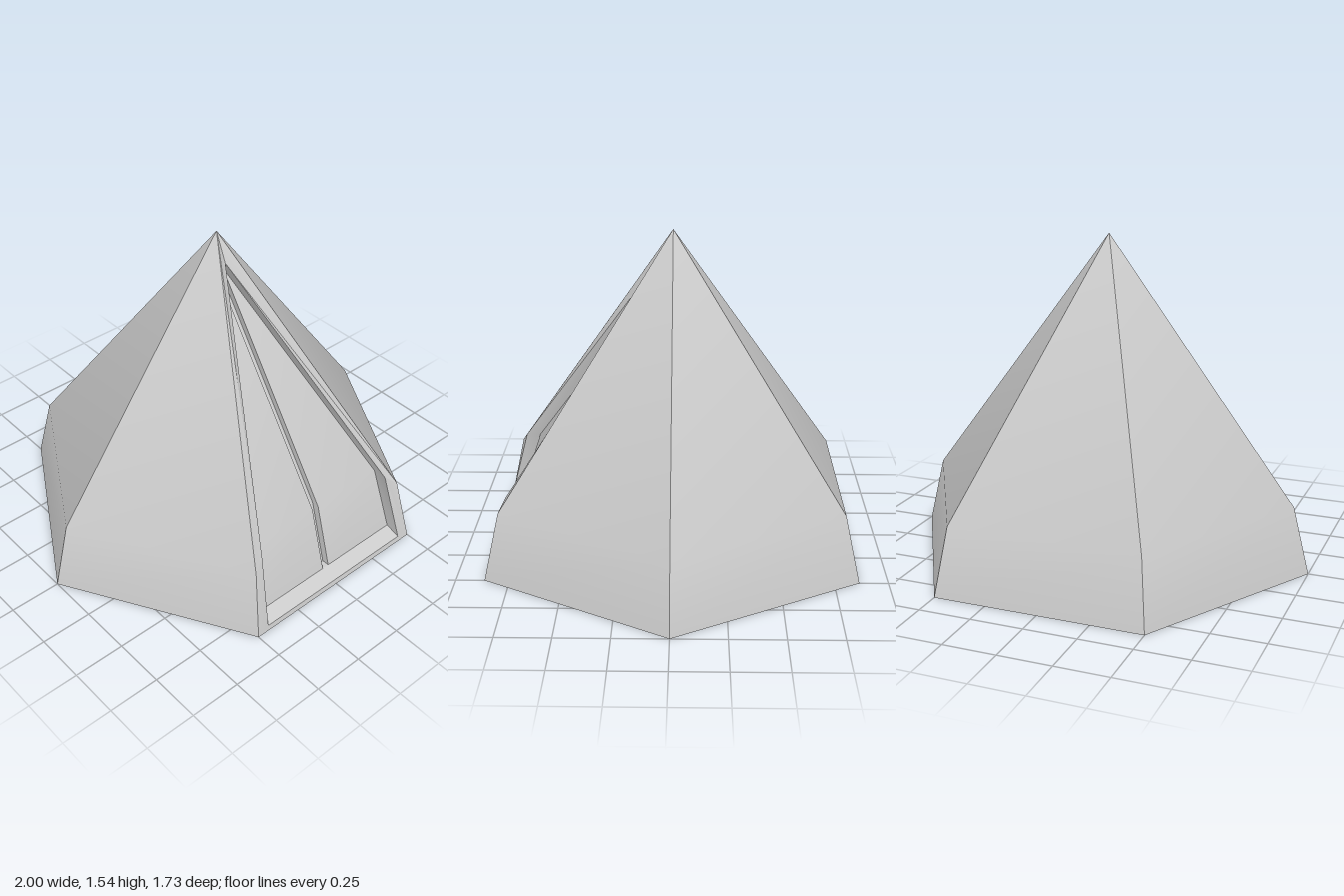
import * as THREE from 'three';
import { toCreasedNormals } from 'three/addons/utils/BufferGeometryUtils.js';

const APEX = [0, 1.545, 0];
const mirror = ([x, y, z]) => [-x, y, z];
const shift = (pts, dz) => pts.map(([x, y, z]) => [x, y, z + dz]);

// Mesh from convex polygons, creased between panels, smooth over the gentle bend
function facets(name, polys) {
  const pos = [];
  for (const p of polys) {
    for (let i = 1; i < p.length - 1; i++) pos.push(...p[0], ...p[i], ...p[i + 1]);
  }
  const geo = new THREE.BufferGeometry();
  geo.setAttribute('position', new THREE.Float32BufferAttribute(pos, 3));
  const mat = new THREE.MeshStandardMaterial({ color: 0xcccccc, side: THREE.DoubleSide });
  const mesh = new THREE.Mesh(toCreasedNormals(geo, Math.PI / 6), mat);
  mesh.name = name;
  return mesh;
}

// Strip of quads between two matching paths (counter-clockwise on the +x half)
function strip(a, b) {
  const out = [];
  for (let i = 0; i < a.length - 1; i++) out.push([a[i], a[i + 1], b[i + 1], b[i]]);
  return out;
}

// Add the reflected, re-wound copy of every polygon
const both = (polys) => [...polys, ...polys.map((p) => p.map(mirror).reverse())];

// Quad spanning the model's width between two points of the +x half
const span = (a, b) => [mirror(a), a, b, mirror(b)];

export function createModel() {
  const group = new THREE.Group();
  group.name = 'tent';

  const corner = (k, r, y) => [r * Math.cos(k * Math.PI / 3), y, r * Math.sin(k * Math.PI / 3)];
  const foot = (k) => corner(k, 1, 0);
  const eave = (k) => corner(k, 0.92, 0.32);

  // Five plain sides and the hexagonal floor (side 1 holds the door)
  const sides = [], floor = [];
  for (let k = 0; k < 6; k++) {
    floor.push([[0, 0, 0], foot(k), foot(k + 1)]);
    if (k === 1) continue;
    sides.push([foot(k + 1), foot(k), eave(k), eave(k + 1)]);
    sides.push([eave(k + 1), eave(k), APEX]);
  }
  group.add(facets('canopySides', sides), facets('groundSheet', floor));

  // Door outlines on the +x half: frame edge, opening, recessed panel
  const outer = [foot(1), eave(1), APEX];
  const opening = [[0.435, 0.025, 0.86], [0.4, 0.37, 0.769], [0, 1.405, 0.06]];
  const panel = [[0.43, 0.055, 0.79], [0.4, 0.37, 0.7], [0, 1.4, -0.008]];

  group.add(facets('doorFrame', [
    ...both(strip(outer, opening)),
    span(outer[0], opening[0]),
  ]));
  group.add(facets('doorReveal', [
    ...both(strip(opening, panel)),
    span(opening[0], panel[0]),
  ]));

  // Two door flaps, parted by a narrow central groove
  const half = 0.018;
  const t = 1 - half / panel[1][0];
  const lerp = (i) => panel[1][i] + (panel[2][i] - panel[1][i]) * t;
  const slit = [
    [half, 0.055, 0.79], [half, 0.37, 0.7], [half, lerp(1), lerp(2)], panel[2],
  ];
  group.add(facets('doorFlaps', both([
    [slit[0], panel[0], panel[1], slit[1]],
    [slit[1], panel[1], slit[2]],
  ])));

  const deep = shift(slit, -0.036);
  group.add(facets('doorGroove', [
    ...both(strip(slit, deep)),
    span(slit[0], deep[0]),
    span(deep[0], deep[1]),
    span(deep[1], deep[2]),
    [mirror(deep[2]), deep[2], deep[3]],
  ]));

  return group;
}
